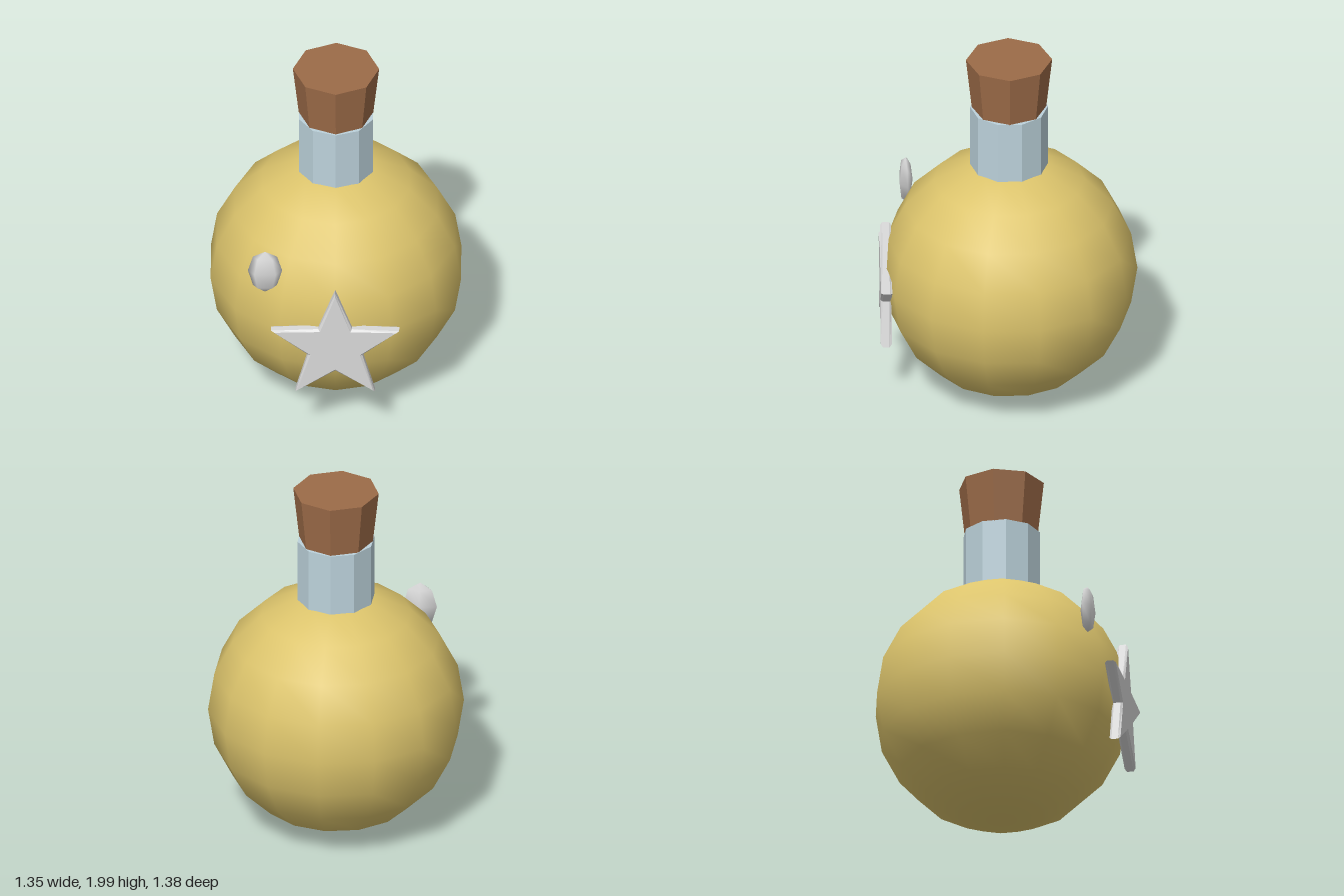
import * as THREE from 'three';

const mat = (name, color, flatShading = false) => {
  const m = new THREE.MeshStandardMaterial({ color, flatShading });
  m.name = name;
  return m;
};

export function createModel() {
  const group = new THREE.Group();
  group.name = 'potionBottle';
  const gold = mat('gold liquid', 0xdcc46c);
  const glass = mat('pale blue glass', 0xbcd2db, true);
  const cork = mat('brown cork', 0x9c6b48, true);
  const silver = mat('silver', 0xd9d9d9);

  const add = (name, geometry, material, x, y, z) => {
    const mesh = new THREE.Mesh(geometry, material);
    mesh.name = name;
    mesh.position.set(x, y, z);
    group.add(mesh);
    return mesh;
  };

  // Round body, with a column of vertices facing front and back
  add('body', new THREE.SphereGeometry(0.69, 14, 10, Math.PI / 2), gold, 0, 0.7, 0);

  // Ten-sided neck, sunk a little into the body
  add('neck', new THREE.CylinderGeometry(0.21, 0.21, 0.41, 10), glass, 0, 1.505, 0);

  // Eight-sided tapered stopper, its foot pushed into the neck
  add('stopper', new THREE.CylinderGeometry(0.232, 0.195, 0.34, 8), cork, 0, 1.83, 0);

  // Bevelled five-pointed star badge
  const points = [];
  for (let i = 0; i < 10; i++) {
    const r = i % 2 ? 0.139 : 0.345;
    const a = Math.PI / 2 + (i * Math.PI) / 5;
    points.push(new THREE.Vector2(r * Math.cos(a), r * Math.sin(a)));
  }
  const star = new THREE.ExtrudeGeometry(new THREE.Shape(points), {
    depth: 0.036, bevelThickness: 0.012, bevelSize: 0.012, bevelSegments: 1,
  });
  add('starBadge', star, silver, 0, 0.638, 0.646);

  // Small oval highlight on the upper shoulder
  const oval = new THREE.SphereGeometry(1, 5, 4, -Math.PI / 2);
  oval.scale(0.097, 0.134, 0.039);
  add('ovalHighlight', oval, silver, -0.378, 1.047, 0.549);

  return group;
}
